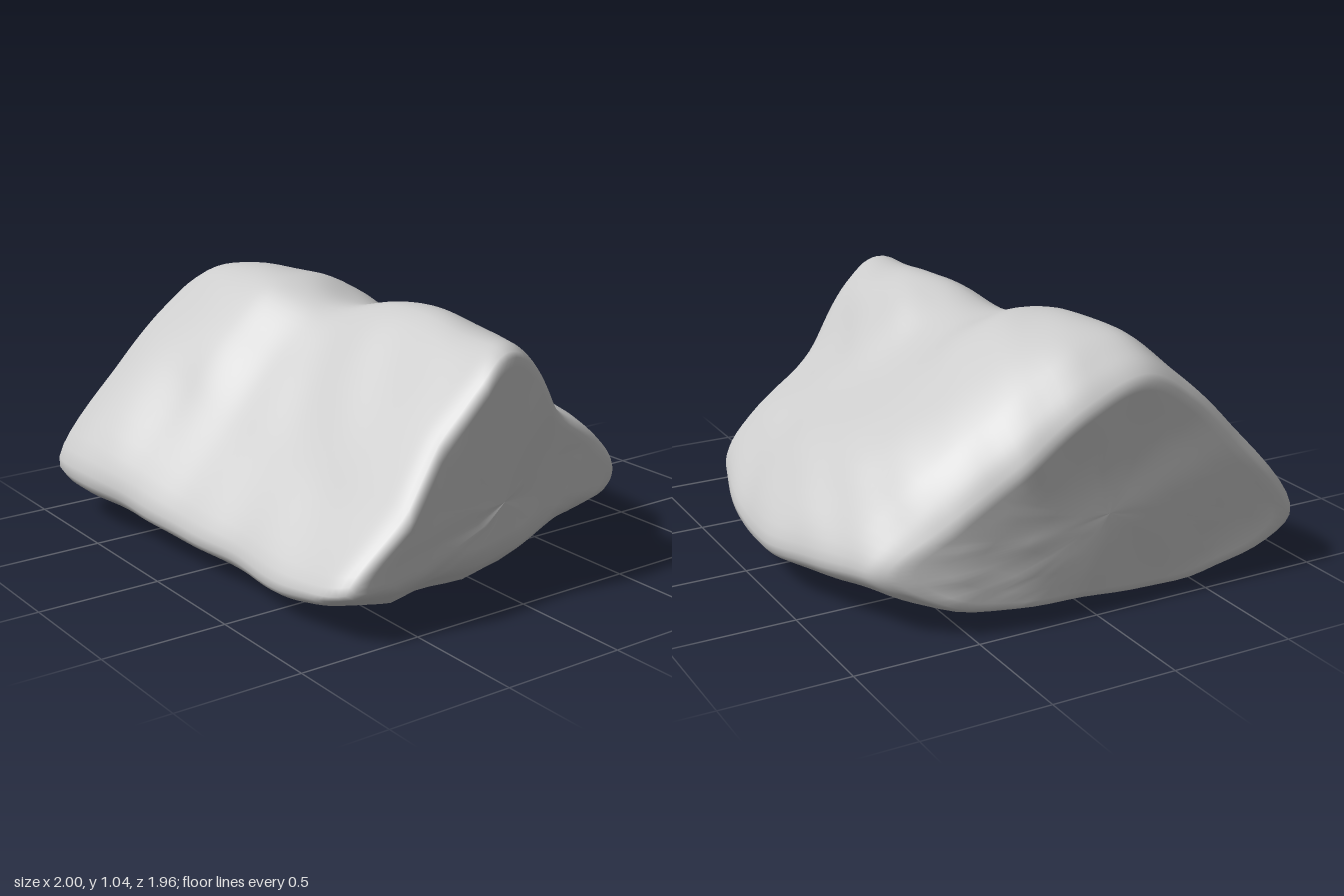
import * as THREE from 'three';

// Cross-sections from the -x end to the +x end: z, y pairs run from the front
// edge over the ridge to the back edge; base is the height of the underside.
const STATIONS = [
  { x: -1.0, base: 0.05, top: [0.93, 0.21, 0.65, 0.59, 0.42, 0.82, 0.21, 0.92, -0.05, 0.83, -0.35, 0.62, -0.62, 0.42, -0.8, 0.24] },
  { x: -0.8, base: 0.04, top: [0.97, 0.21, 0.63, 0.67, 0.41, 0.87, 0.2, 1.02, -0.03, 0.98, -0.36, 0.77, -0.69, 0.5, -0.87, 0.22] },
  { x: -0.4, base: 0.025, top: [0.91, 0.18, 0.61, 0.61, 0.4, 0.85, 0.18, 1.02, -0.1, 1.0, -0.42, 0.78, -0.77, 0.5, -0.97, 0.18] },
  { x: -0.1, base: 0.02, top: [0.87, 0.15, 0.59, 0.53, 0.35, 0.78, 0.11, 0.95, -0.12, 0.92, -0.44, 0.73, -0.81, 0.48, -0.98, 0.17] },
  { x: 0.3, base: 0.015, top: [0.83, 0.14, 0.58, 0.47, 0.3, 0.79, 0.03, 1.02, -0.14, 0.99, -0.43, 0.73, -0.78, 0.46, -0.96, 0.18] },
  { x: 0.7, base: 0.02, top: [0.83, 0.13, 0.58, 0.45, 0.3, 0.77, 0.04, 0.98, -0.17, 0.94, -0.41, 0.67, -0.75, 0.45, -0.91, 0.21] },
  { x: 1.0, base: 0.07, top: [0.8, 0.18, 0.57, 0.45, 0.3, 0.76, 0.05, 0.98, -0.16, 0.9, -0.4, 0.63, -0.7, 0.43, -0.84, 0.25] },
];

// Outline of the two end faces as seen from above: [z, |x|]
const RIGHT_END = [[-0.98, 0.74], [-0.8, 0.81], [-0.55, 0.93], [-0.3, 0.98], [0, 0.99], [0.9, 1]];
const LEFT_END = [[-0.95, 0.58], [-0.8, 0.64], [-0.5, 0.71], [-0.25, 0.82], [-0.05, 0.91], [0.16, 0.965], [0.35, 0.95], [0.53, 1], [0.8, 0.96]];

function lookup(table, v) {
  if (v <= table[0][0]) return table[0][1];
  for (let i = 1; i < table.length; i++) {
    const [a, fa] = table[i - 1], [b, fb] = table[i];
    if (v <= b) return fa + (fb - fa) * (v - a) / (b - a);
  }
  return table[table.length - 1][1];
}

// Full closed loop of a station, with three underside points added
function loopPoints({ x, base, top }) {
  const pts = [];
  for (let i = 0; i < top.length; i += 2) pts.push(new THREE.Vector3(x, top[i + 1], top[i]));
  const backRise = 0.3 * (top[top.length - 1] - base);
  pts.push(new THREE.Vector3(x, base + backRise, -0.6));
  pts.push(new THREE.Vector3(x, base + 0.015, -0.05));
  pts.push(new THREE.Vector3(x, base, 0.52));
  return pts;
}

// Half-length at a point; the left end is undercut near the ground
function reach(p) {
  if (p.x < 0) return lookup(RIGHT_END, p.z);
  return lookup(LEFT_END, p.z) - 1.2 * Math.max(0, 0.2 - p.y);
}

// Gentle surface unevenness
const bumps = (p) =>
  0.005 * Math.sin(7 * p.x + 5 * p.y + 1) * Math.sin(6 * p.z - 4 * p.y + 2) +
  0.004 * Math.sin(15 * p.x - 11 * p.z) * Math.sin(13 * p.y + 9 * p.z + 1);

function rockGeometry() {
  const loops = STATIONS.map(loopPoints);
  const rails = loops[0].map((_, k) => new THREE.CatmullRomCurve3(loops.map((l) => l[k])));
  const around = 88, along = 72;

  // Rings: closing caps at both ends, rounded rims between
  const caps = [0, 0.2, 0.4, 0.6, 0.75, 0.87];
  const rings = caps.map((s) => [0, s]);
  for (let i = 0; i <= along; i++) {
    const t = i / along;
    const d = Math.max(0, 1 - Math.min(t, 1 - t) / 0.08);
    rings.push([t, 1 - 0.065 * d * d * d]);
  }
  rings.push(...caps.slice().reverse().map((s) => [1, s]));

  const centre = new THREE.Vector3(0, 0.42, 0);
  const positions = [], index = [];
  for (const [t, scale] of rings) {
    const section = new THREE.CatmullRomCurve3(rails.map((r) => r.getPoint(t)), true);
    const mid = new THREE.Vector3(section.getPoint(0).x, 0.4, 0.05);
    for (let j = 0; j < around; j++) {
      const p = section.getPoint(j / around).sub(mid).multiplyScalar(scale).add(mid);
      p.x *= reach(p);
      p.addScaledVector(p.clone().sub(centre).normalize(), bumps(p));
      positions.push(p.x, Math.max(p.y, 0), p.z);
    }
  }
  for (let i = 0; i < rings.length - 1; i++) {
    for (let j = 0; j < around; j++) {
      const a = i * around + j, b = i * around + (j + 1) % around;
      index.push(a, a + around, b, b, a + around, b + around);
    }
  }
  const geometry = new THREE.BufferGeometry();
  geometry.setAttribute('position', new THREE.Float32BufferAttribute(positions, 3));
  geometry.setIndex(index);
  geometry.computeVertexNormals();
  return geometry;
}

export function createModel() {
  const group = new THREE.Group();
  group.name = 'boulder';
  const rock = new THREE.Mesh(rockGeometry(), new THREE.MeshStandardMaterial({ color: 0xcccccc }));
  rock.name = 'rock';
  group.add(rock);
  return group;
}
